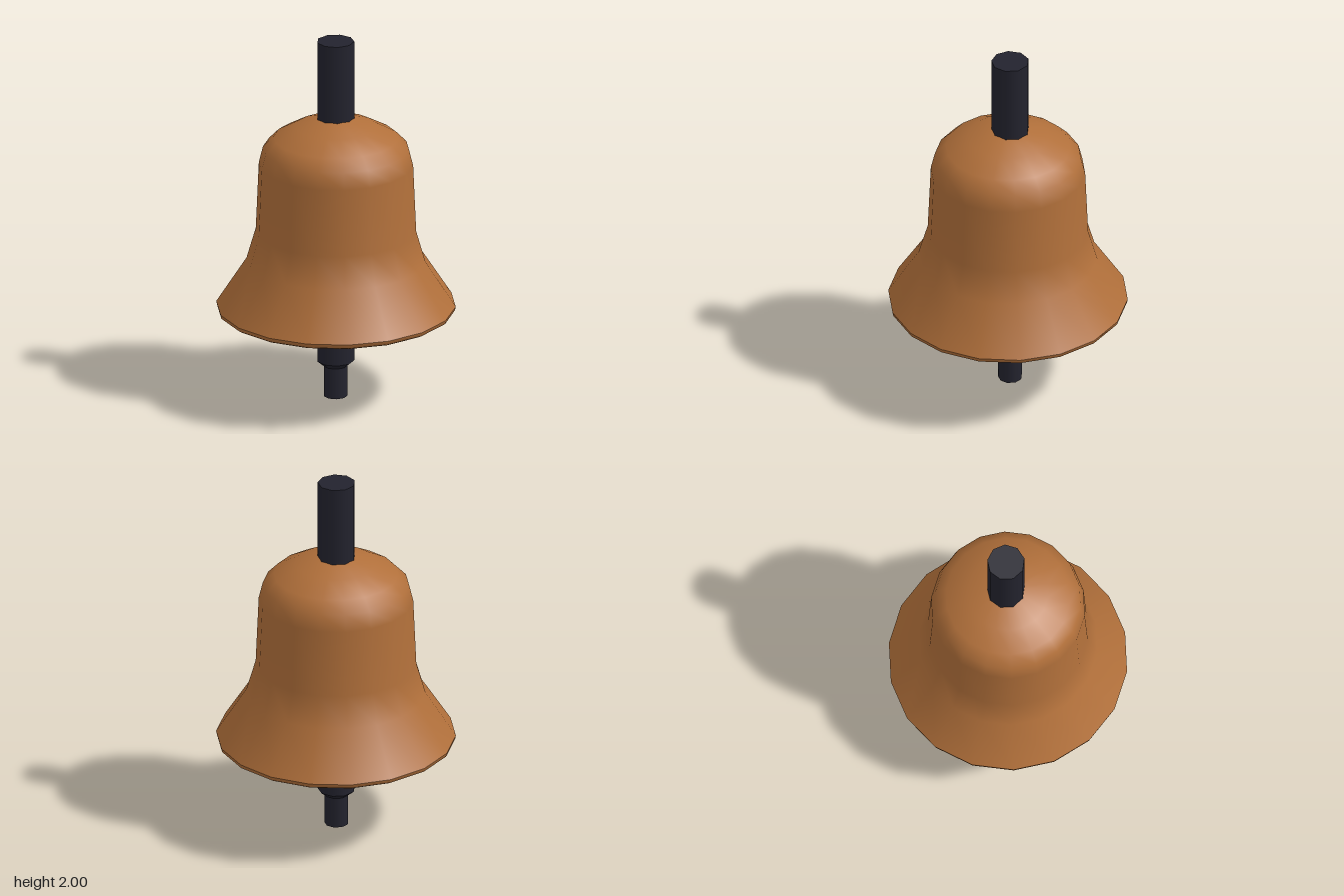
import * as THREE from 'three';

const bronze = new THREE.MeshStandardMaterial({ color: 0xb06f3a });
bronze.name = 'bronze';
const darkIron = new THREE.MeshStandardMaterial({ color: 0x23232e });
darkIron.name = 'dark iron';

// Surface of revolution through [radius, height] points
function lathe(name, points, sides, phiStart, material) {
  const geometry = new THREE.LatheGeometry(points.map(([r, y]) => new THREE.Vector2(r, y)), sides, phiStart);
  const mesh = new THREE.Mesh(geometry, material);
  mesh.name = name;
  return mesh;
}

// Straight or tapered nine-sided rod section between two heights
function rod(name, bottom, top, rBottom, rTop, openEnded = false) {
  const geometry = new THREE.CylinderGeometry(rTop, rBottom, top - bottom, 9, 1, openEnded, -Math.PI / 2);
  const mesh = new THREE.Mesh(geometry, darkIron);
  mesh.name = name;
  mesh.position.y = (bottom + top) / 2;
  return mesh;
}

export function createModel() {
  const model = new THREE.Group();
  model.name = 'bell';

  // Bell body: outer shell, rolled lip and hollow inside
  const body = new THREE.Group();
  body.name = 'bellBody';
  const shell = [[0.636, 0.52], [0.475, 0.77], [0.426, 0.94], [0.41, 1.31], [0.388, 1.4],
    [0.33, 1.46], [0.215, 1.525], [0.08, 1.572], [0, 1.574]];
  const lip = [[0.545, 0.515], [0.575, 0.495], [0.615, 0.49], [0.632, 0.5], [0.636, 0.52]];
  const inside = [[0, 1.52], [0.18, 1.48], [0.3, 1.42], [0.35, 1.36], [0.365, 1.3],
    [0.378, 0.94], [0.43, 0.75], [0.545, 0.515]];
  body.add(
    lathe('outerShell', shell, 18, Math.PI / 2, bronze),
    lathe('lip', lip, 18, Math.PI / 2, bronze),
    lathe('innerShell', inside, 18, Math.PI / 2, bronze),
  );
  model.add(body);

  // Hanger and clapper, slightly off the bell's axis
  const iron = new THREE.Group();
  iron.name = 'hangerAndClapper';
  iron.position.set(-0.007, 0, -0.009);
  iron.add(
    rod('hanger', 1.54, 2, 0.1, 0.1),
    rod('clapperStem', 0.38, 1.54, 0.073, 0.073),
    rod('clapperShoulder', 0.37, 0.39, 0.1, 0.073, true),
    rod('clapperBall', 0.2, 0.37, 0.1, 0.1, true),
    rod('clapperTaper', 0.17, 0.2, 0.064, 0.1, true),
    rod('clapperTip', 0, 0.18, 0.064, 0.064),
  );
  model.add(iron);

  return model;
}
